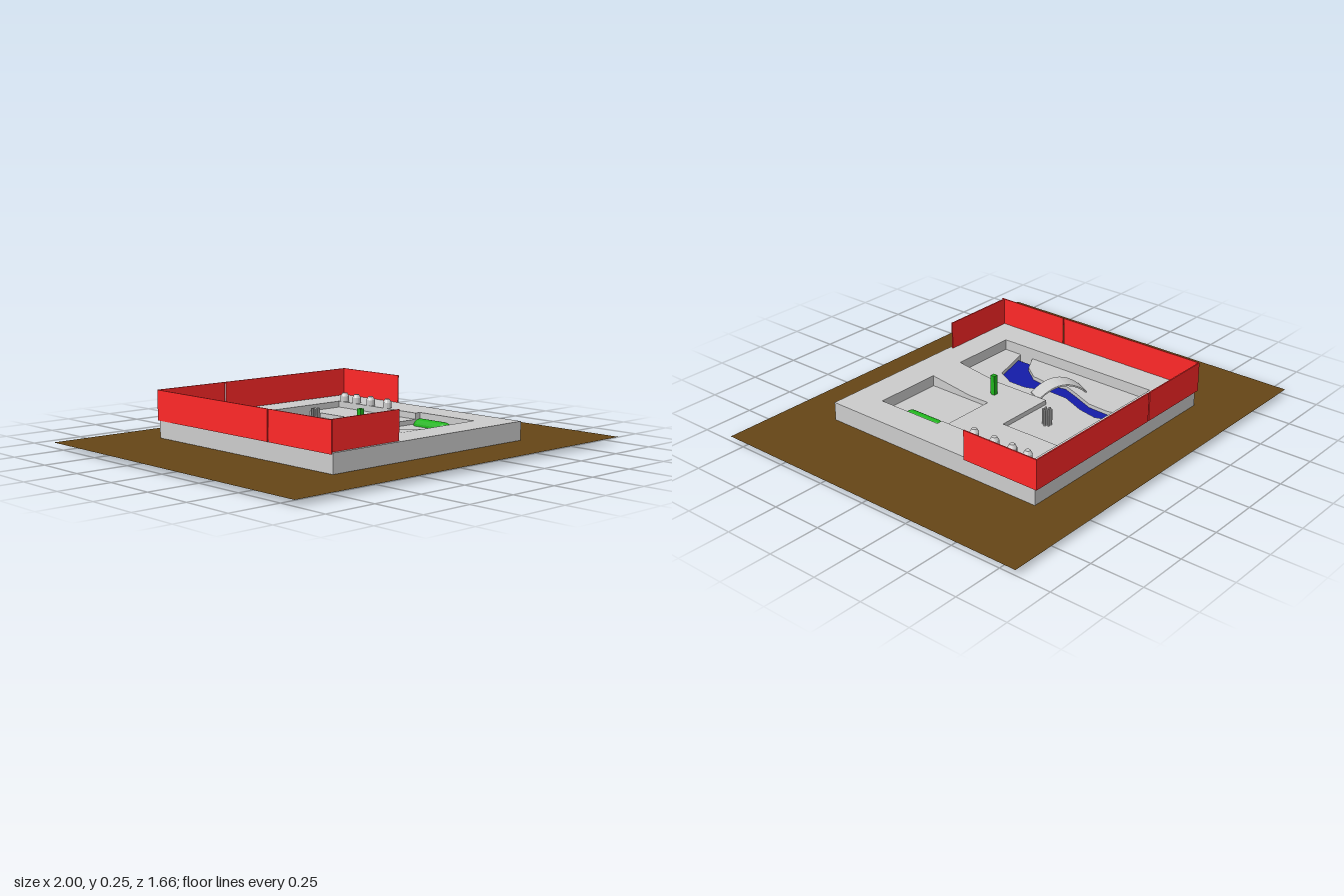
import * as THREE from 'three';

const mat = (color) => new THREE.MeshStandardMaterial({ color, flatShading: true, side: THREE.DoubleSide });
const grey = mat(0xcccccc), red = mat(0xff2828), brown = mat(0x654516);
const blue = mat(0x141ca8), green = mat(0x1fb41c);

// Points are [x, z] on the ground plan
const plan = (pts) => pts.map(([x, z]) => new THREE.Vector2(x, -z));
const rect = (x0, x1, z0, z1) => [[x0, z0], [x1, z0], [x1, z1], [x0, z1]];

function slab(outline, holes, y0, y1) {
  const shape = new THREE.Shape(plan(outline));
  holes.forEach((h) => shape.holes.push(new THREE.Path(plan(h))));
  const geo = new THREE.ExtrudeGeometry(shape, { depth: y1 - y0, bevelEnabled: false });
  return geo.rotateX(-Math.PI / 2).translate(0, y0, 0);
}

// River banks from back to front: [left x, left z, right x, right z]
const banks = [
  [-0.24, -0.44, -0.165, -0.44], [-0.215, -0.36, -0.13, -0.35],
  [-0.22, -0.25, -0.15, -0.25], [-0.27, -0.13, -0.2, -0.13],
  [-0.3, -0.05, -0.205, -0.02], [-0.27, 0.06, -0.165, 0.09],
  [-0.28, 0.13, -0.165, 0.18], [-0.34, 0.21, -0.21, 0.27],
  [-0.43, 0.26, -0.43, 0.335],
];
const riverOutline = (b) => [
  ...b.map((p) => [p[0], p[1]]), ...b.map((p) => [p[2], p[3]]).reverse(),
];

// Underside of the river bed: a channel with sloped sides and ends
function riverBed() {
  const pos = [], idx = [], last = banks.length - 1;
  banks.forEach((b, i) => {
    const next = i === 0 ? banks[1] : i === last ? banks[last - 1] : b;
    const low = b.map((v, k) => v + (next[k] - v) * 0.55);
    const cx = (low[0] + low[2]) / 2, cz = (low[1] + low[3]) / 2, s = 0.72;
    pos.push(b[0], 0.026, b[1]);
    pos.push(cx + (low[0] - cx) * s, 0, cz + (low[1] - cz) * s);
    pos.push(cx + (low[2] - cx) * s, 0, cz + (low[3] - cz) * s);
    pos.push(b[2], 0.026, b[3]);
    if (i < last) {
      for (let k = 0; k < 3; k++) {
        const a = i * 4 + k;
        idx.push(a, a + 1, a + 4, a + 1, a + 5, a + 4);
      }
    }
  });
  const e = last * 4;
  idx.push(0, 2, 1, 0, 3, 2, e, e + 1, e + 2, e, e + 2, e + 3);
  const geo = new THREE.BufferGeometry();
  geo.setAttribute('position', new THREE.Float32BufferAttribute(pos, 3));
  geo.setIndex(idx);
  geo.computeVertexNormals();
  return geo;
}

export function createModel() {
  const group = new THREE.Group();
  const add = (name, geo, material, x = 0, y = 0, z = 0) => {
    const mesh = new THREE.Mesh(geo, material);
    mesh.name = name;
    mesh.position.set(x, y, z);
    group.add(mesh);
    return mesh;
  };

  // Ground sheet
  add('ground', new THREE.PlaneGeometry(2, 1.66).rotateX(-Math.PI / 2), brown, 0, 0.025, 0);

  // Platform in three stepped layers: river level, lower floors, main recess
  const outline = rect(-0.58, 0.59, -0.59, 0.585);
  const lowerFloor = [[-0.43, -0.44], [0.215, -0.44], [0.215, -0.1], [-0.09, -0.1], [-0.09, 0.43], [-0.43, 0.43]];
  const sunkenBed = rect(0.1, 0.44, 0.09, 0.43);
  const recess = [[-0.43, -0.44], [0.41, -0.44], [0.41, 0.09], [0.44, 0.09], [0.44, 0.43], [-0.43, 0.43]];
  add('lowerPlatform', slab(outline, [riverOutline(banks)], 0.0265, 0.063), grey);
  add('middlePlatform', slab(outline, [lowerFloor, sunkenBed], 0.063, 0.085), grey);
  add('upperPlatform', slab(outline, [recess], 0.085, 0.115), grey);

  // Ramp from the central floor up to the front rim
  const wedge = new THREE.Shape([[-0.2, 0.085], [-0.43, 0.085], [-0.43, 0.115]].map((p) => new THREE.Vector2(...p)));
  const ramp = new THREE.ExtrudeGeometry(wedge, { depth: 0.19, bevelEnabled: false });
  add('ramp', ramp.rotateY(Math.PI / 2), grey, -0.09, 0, 0);

  // River: water stops short of the channel end
  const waterBanks = [...banks.slice(0, -1), [-0.4, 0.243, -0.4, 0.325]];
  add('water', new THREE.ShapeGeometry(new THREE.Shape(plan(riverOutline(waterBanks)))).rotateX(-Math.PI / 2), blue, 0, 0.045, 0);
  add('riverBed', riverBed(), grey);

  // Arched bridge
  const arch = new THREE.Shape();
  const n = 12, half = 0.121;
  const rise = (t) => 0.055 * (1 - t * t);
  for (let i = 0; i <= n; i++) {
    const t = -1 + (2 * i) / n;
    if (i) arch.lineTo(half * t, rise(t) + 0.008);
    else arch.moveTo(half * t, rise(t) + 0.008);
  }
  for (let i = n; i >= 0; i--) {
    const t = -1 + (2 * i) / n;
    arch.lineTo(half * t, rise(t));
  }
  const bridge = new THREE.ExtrudeGeometry(arch, { depth: 0.09, bevelEnabled: false }).translate(0, 0, -0.045);
  add('bridge', bridge, grey, -0.22, 0.062, -0.072).rotation.y = -0.5;

  // Boundary walls: [x0, x1, z0, z1], with narrow gaps between panels
  const t = 0.006;
  [
    [-0.58, -0.189, -0.606, -0.6], [-0.182, 0.6, -0.606, -0.6],
    [-0.584, -0.584 + t, -0.6, 0.181], [-0.584, -0.584 + t, 0.188, 0.58],
    [0.594, 0.6, -0.6, -0.21], [-0.58, -0.187, 0.565, 0.571],
  ].forEach(([x0, x1, z0, z1]) => {
    add('wall', new THREE.BoxGeometry(x1 - x0, 0.142, z1 - z0), red, (x0 + x1) / 2, 0.179, (z0 + z1) / 2);
  });

  // Row of stone posts with chamfered caps
  const profile = [[0, 0], [0.021, 0], [0.021, 0.057], [0.012, 0.073], [0, 0.073]].map((p) => new THREE.Vector2(...p));
  [-0.42, -0.335, -0.235, -0.12].forEach((z) => {
    add('stonePost', new THREE.LatheGeometry(profile, 16), grey, 0.43, 0.085, z);
  });

  // Cluster of thin poles
  for (let i = 0; i < 7; i++) {
    const a = (i * Math.PI) / 3, r = i < 6 ? 0.017 : 0;
    add('thinPole', new THREE.CylinderGeometry(0.006, 0.006, 0.077, 8), grey,
      0.057 + r * Math.cos(a), 0.1015, -0.225 + r * Math.sin(a));
  }

  // Hedge and green marker post
  add('hedge', new THREE.CapsuleGeometry(0.033, 0.15, 8, 20).rotateX(Math.PI / 2), green, 0.395, 0.063, 0.213);
  add('markerPost', new THREE.BoxGeometry(0.022, 0.1, 0.022), green, 0.015, 0.132, 0.125);

  return group;
}
